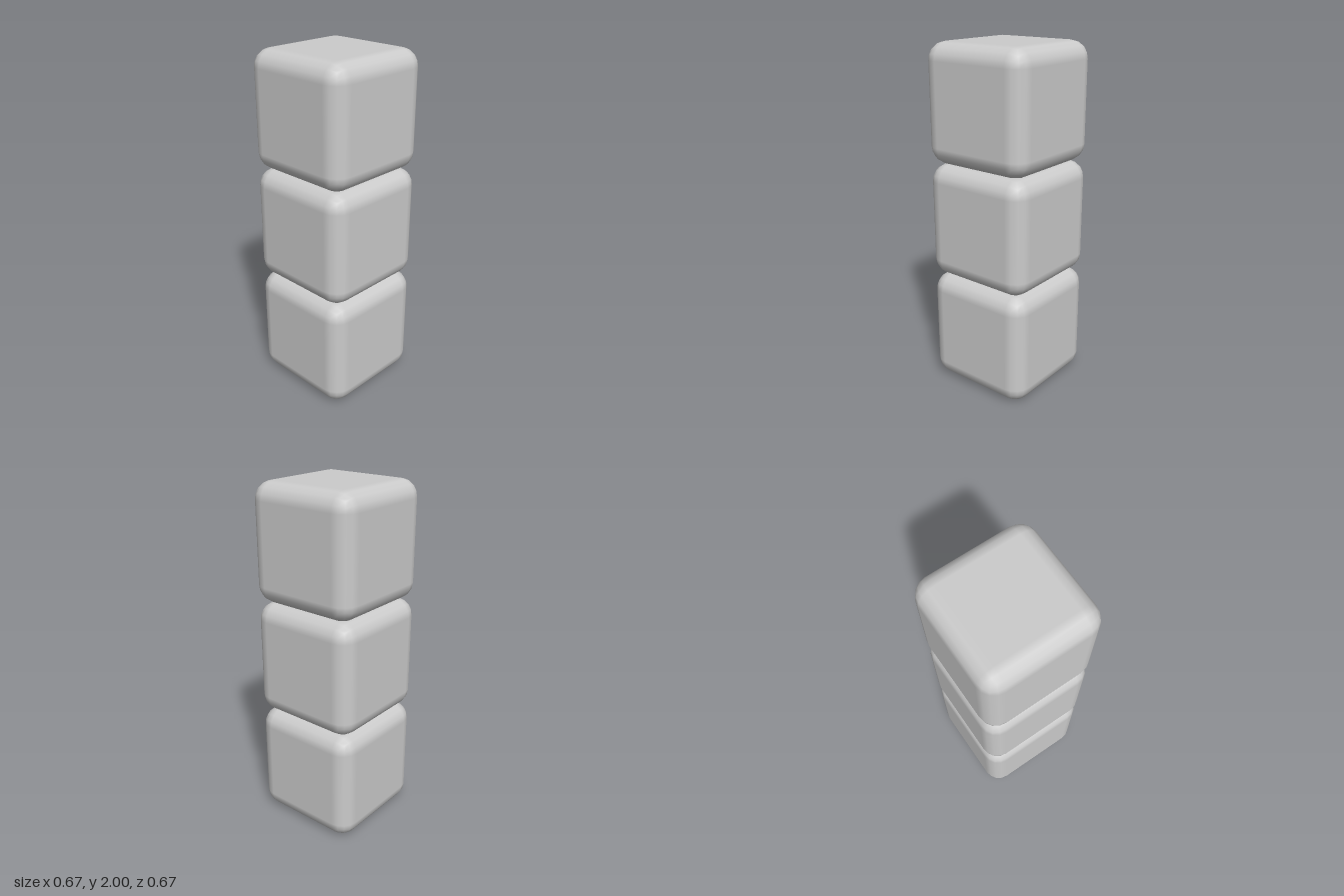
import * as THREE from 'three';

const SIZE = 2 / 3;
const RADIUS = 0.1;
const STEPS = 2; // subdivisions per 45 degrees of a rounded edge

// Cube whose edges and corners are rounded in equal angular steps
function roundedCube(size, radius) {
  const n = STEPS * 2 + 1;
  const geo = new THREE.BoxGeometry(n, n, n, n, n, n);
  const pos = geo.attributes.position;
  const normal = geo.attributes.normal;
  const core = size / 2 - radius;
  const warp = (c) => Math.sign(c) * Math.tan(((Math.abs(c) - 0.5) / STEPS) * Math.PI / 4);
  const p = new THREE.Vector3();
  const dir = new THREE.Vector3();
  for (let i = 0; i < pos.count; i++) {
    p.fromBufferAttribute(pos, i);
    dir.set(warp(p.x), warp(p.y), warp(p.z)).normalize();
    normal.setXYZ(i, dir.x, dir.y, dir.z);
    p.set(Math.sign(p.x), Math.sign(p.y), Math.sign(p.z)).multiplyScalar(core);
    p.addScaledVector(dir, radius);
    pos.setXYZ(i, p.x, p.y, p.z);
  }
  return geo;
}

export function createModel() {
  const group = new THREE.Group();
  group.name = 'blockStack';
  const material = new THREE.MeshStandardMaterial({ color: 0xcccccc });
  const geometry = roundedCube(SIZE, RADIUS);

  // Three equal blocks, one on top of the other
  ['bottomBlock', 'middleBlock', 'topBlock'].forEach((name, i) => {
    const block = new THREE.Mesh(geometry, material);
    block.name = name;
    block.position.y = SIZE * (i + 0.5);
    group.add(block);
  });
  return group;
}
